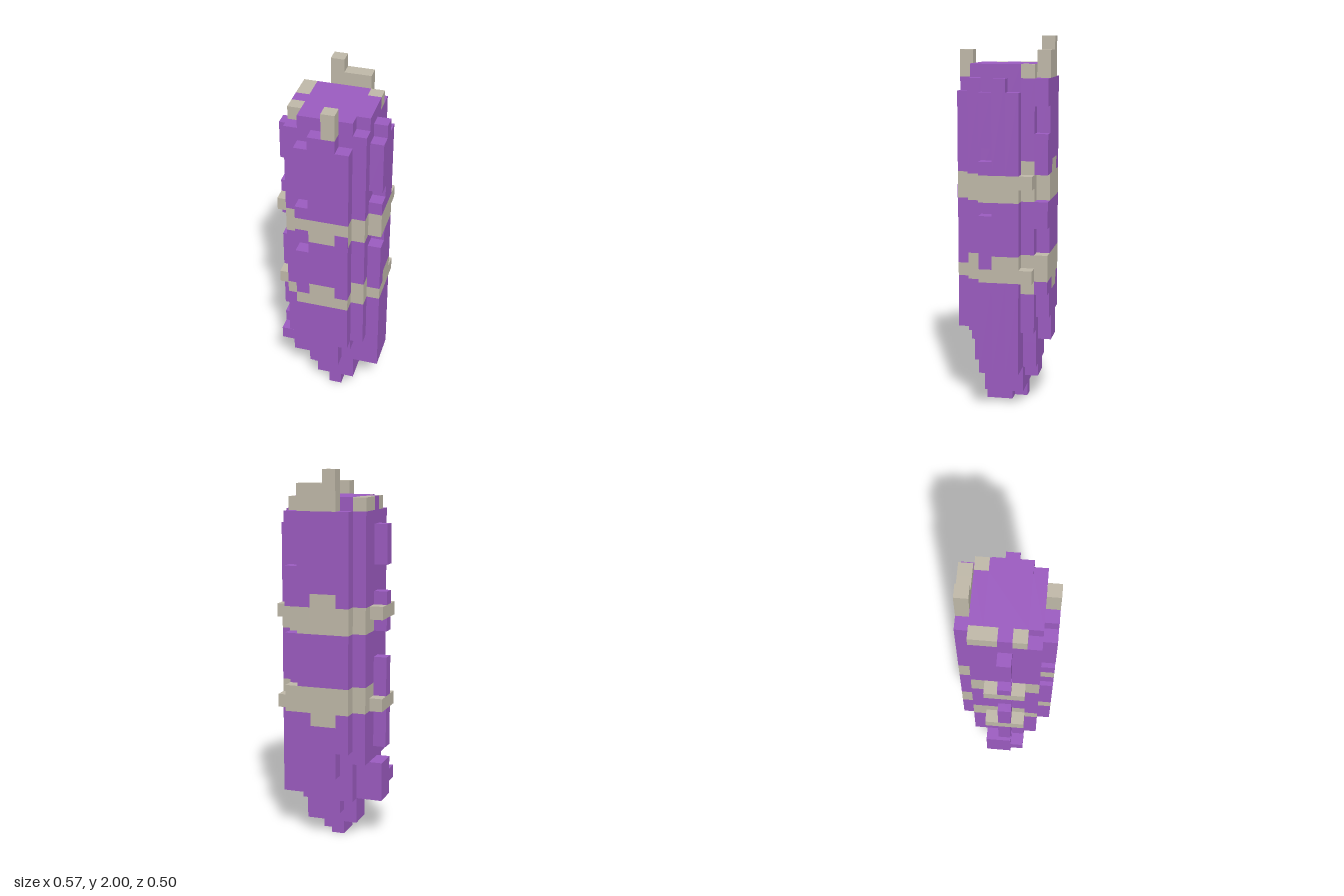
import * as THREE from 'three';

const U = 1 / 14; // edge of one block

export function createModel() {
  const model = new THREE.Group();
  model.name = 'blockTower';
  const purple = new THREE.MeshStandardMaterial({ color: 0x9b5bc0 });
  purple.name = 'purple';
  const beige = new THREE.MeshStandardMaterial({ color: 0xbfb8a8 });
  beige.name = 'beige';

  // x and y are in blocks from the centre and the ground, z in blocks from the back
  function block(name, mat, x0, x1, z0, z1, y0, y1) {
    const mesh = new THREE.Mesh(
      new THREE.BoxGeometry((x1 - x0) * U, (y1 - y0) * U, (z1 - z0) * U), mat);
    mesh.position.set((x0 + x1) / 2 * U, (y0 + y1) / 2 * U, ((z0 + z1) / 2 - 3.5) * U);
    mesh.name = name;
    model.add(mesh);
  }

  // Upright column, cut into purple lengths and beige bands
  const BANDS = [[10, 12], [16, 18]];
  function column(name, x0, x1, z0, z1, y0, y1, bands = BANDS) {
    let y = y0;
    for (const [a, b] of bands) {
      const lo = Math.max(a, y0), hi = Math.min(b, y1);
      if (lo >= hi) continue;
      if (lo > y) block(name, purple, x0, x1, z0, z1, y, lo);
      block(name + 'Band', beige, x0, x1, z0, z1, lo, hi);
      y = hi;
    }
    if (y < y1) block(name, purple, x0, x1, z0, z1, y, y1);
  }

  // Core and the stepped tip below it
  column('core', -2, 2, 2, 5, 3, 26);
  block('tipUpper', purple, -1, 2, 2, 5, 1, 3);
  block('tipUpper', purple, -2, -1, 2, 4, 1, 3);
  block('tipLower', purple, -1, 1, 3, 4, 0, 1);
  block('tipLower', purple, 0, 1, 4, 5, 0, 1);
  block('tipLower', purple, -1, 0, 2, 3, 0, 1);

  // Front inner layer
  column('frontLayer', -2, 2, 5, 6, 5, 26);
  block('frontLayerFoot', purple, -1, 1, 5, 6, 3, 5);
  column('frontCorner', -3, -2, 5, 6, 6, 25, [[10, 11], [16, 18]]);
  column('frontCorner', 2, 3, 5, 6, 6, 25);

  // Front panel with notches on one edge, and its post
  for (const [a, b] of [[7, 15], [16, 19], [20, 24]])
    column('frontPanelEdge', -2, -1, 6, 7, a, b, [[10, 11], [17, 18]]);
  column('frontPanel', -1, 0, 6, 7, 6, 25);
  column('frontPanel', 0, 1, 6, 7, 6, 27, [...BANDS, [25, 27]]);
  column('frontPanelEdge', 1, 2, 6, 7, 6, 24, [[10, 11], [16, 18]]);
  block('frontBandNotch', purple, 1, 2, 7, 7.03, 16, 17);

  // Back inner layer with beige corners
  column('backLayer', -2, 2, 1, 2, 5, 26);
  block('backLayerFoot', purple, -2, 2, 1, 2, 3, 5);
  block('backLayerToe', purple, -1, 1, 1, 2, 2, 3);
  column('backCorner', -3, -2, 1, 2, 6, 26, [...BANDS, [25, 26]]);
  column('backCorner', 2, 3, 1, 2, 6, 26, [[9, 12], [16, 19], [25, 26]]);

  // Back panel, its battlement and the broken corner strip
  column('backPanel', -2, -1, 0, 1, 7, 25);
  column('backPanel', -1, 0, 0, 1, 5, 28, [[9, 12], [16, 19], [25, 28]]);
  column('backPanel', 0, 1, 0, 1, 5, 27, [[9, 12], [16, 19], [25, 27]]);
  column('backPanel', 1, 2, 0, 1, 7, 27, [...BANDS, [25, 27]]);
  for (const [a, b] of [[9, 12], [14, 16], [18, 21], [23, 25]])
    column('backStrip', 2, 3, 0, 1, a, b);

  // Left side (+x): inner layer, then stepped outer panel
  column('leftLayer', 2, 3, 2, 5, 3, 26);
  column('leftPanel', 3, 4, 2, 3, 3, 24);
  column('leftPanel', 3, 4, 3, 4, 3, 25);
  for (const [a, b] of [[3, 15], [16, 19], [20, 24]])
    column('leftPanelEdge', 3, 4, 4, 5, a, b, [[10, 11], [16, 18]]);

  // Right side (-x): inner layer with beige top corners, then broken centre strip
  for (const z of [2, 3, 4])
    column('rightLayer', -3, -2, z, z + 1, 3, 26, z === 3 ? BANDS : [...BANDS, [25, 26]]);
  for (const [a, b] of [[3, 6], [7, 14], [16, 19], [21, 24]])
    column('rightStrip', -4, -3, 3, 4, a, b, [[10, 11], [17, 18]]);
  block('rightFoot', purple, -4, -3, 2, 3, 3, 6);
  block('rightFoot', purple, -4, -3, 4, 5, 4, 5);

  // Prongs of the two rings
  for (const y of [10, 17]) {
    block('ringProng', beige, -4, -3, 2, 3, y, y + 1);
    block('ringProng', beige, -4, -3, 4, 5, y, y + 1);
    block('ringProng', beige, 3, 4, 1, 2, y, y + 1);
  }
  return model;
}
